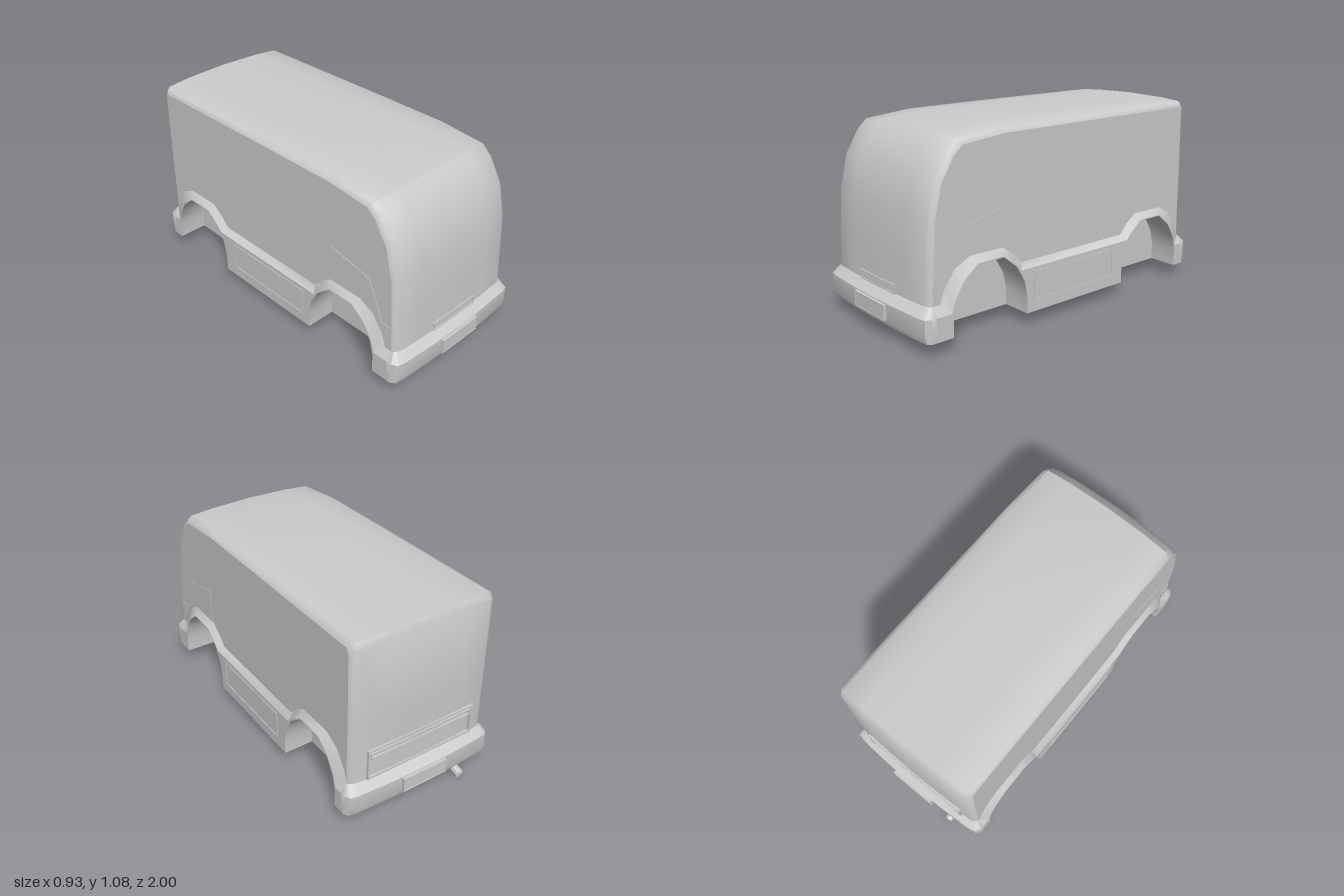
import * as THREE from 'three';
import { toCreasedNormals } from 'three/addons/utils/BufferGeometryUtils.js';

const SIDE = 0.43, SKIRT = 0.463, FLOOR = 0.075, WELL = 0.29, END = 0.9;

// Surface through rows of [x, y, z] points
function loft(rows, flip = false, crease = 0.6) {
  const n = rows[0].length, index = [];
  for (let i = 0; i < rows.length - 1; i++) {
    for (let j = 0; j < n - 1; j++) {
      const a = i * n + j, b = a + n, c = a + 1, d = b + 1;
      if (flip) index.push(a, c, b, c, d, b);
      else index.push(a, b, c, c, b, d);
    }
  }
  const g = new THREE.BufferGeometry();
  g.setAttribute('position', new THREE.Float32BufferAttribute(rows.flat(2), 3));
  g.setIndex(index);
  return toCreasedNormals(g, crease);
}

const toShape = (pts) => new THREE.Shape(pts.map(([a, b]) => new THREE.Vector2(a, b)));

// Flat face outlined in (z, y), standing at x and facing away from the middle
function sideFace(pts, x) {
  const g = new THREE.ShapeGeometry(toShape(pts));
  g.rotateY(-Math.PI / 2);
  g.translate(x, 0, 0);
  if (x > 0) g.index.array.reverse();
  g.computeVertexNormals();
  return g;
}

// Rectangular rim, centred, facing +z
function rim(w, h, t, depth) {
  const box = (a, b) => [[-a, -b], [a, -b], [a, b], [-a, b]];
  const s = toShape(box(w / 2, h / 2));
  s.holes.push(toShape(box(w / 2 - t, h / 2 - t)));
  return new THREE.ExtrudeGeometry(s, { depth, bevelEnabled: false });
}

export function createModel() {
  const model = new THREE.Group();
  const paint = new THREE.MeshStandardMaterial({ color: 0xcccccc, side: THREE.DoubleSide });
  paint.name = 'light grey';
  const add = (name, geometry, x = 0, y = 0, z = 0) => {
    const m = new THREE.Mesh(geometry, paint);
    m.name = name;
    m.position.set(x, y, z);
    model.add(m);
    return m;
  };

  // Body shell: the (z, y) silhouette, drawn in towards both sides
  const profile = [[0.945, 0.25], [0.935, 0.45], [0.922, 0.68], [0.878, 0.87], [0.8, 1.0],
    [0.745, 1.05], [0.47, 1.077], [0, 1.08], [-0.92, 1.08], [-0.937, 1.05], [-0.945, 0.6], [-0.945, 0.25]];
  const inset = (d) => profile.map(([z, y]) => [z * (1 - d / 0.945), y - d * (y - 0.25) / 0.83]);
  const half = [[SIDE, 0.045], [0.42, 0.027], [0.395, 0.014], [0.25, 0.005]];
  const stations = [...half.map(([x, d]) => [-x, d]), [0, 0], ...half.slice().reverse()];
  add('bodyShell', loft(stations.map(([x, d]) => inset(d).map(([z, y]) => [x, y, z]))));

  // Wheel arch lines as (offset from the axle, height), from the bumper side to the middle
  const arches = [{ c: 0.57, dir: 1 }, { c: -0.615, dir: -1 }];
  const openingPts = [[0.235, FLOOR], [0.235, 0.17], [0.215, 0.26], [0.165, 0.345], [0.08, 0.415],
    [-0.08, 0.415], [-0.165, 0.345], [-0.215, 0.26], [-0.235, 0.17], [-0.235, FLOOR]];
  const lipPts = [[0.24, 0.2], [0.222, 0.265], [0.17, 0.35], [0.083, 0.42], [-0.083, 0.42],
    [-0.17, 0.35], [-0.195, 0.32]];
  const flarePts = [[0.29, 0.25], [0.265, 0.32], [0.2, 0.41], [0.11, 0.455], [-0.1, 0.455],
    [-0.17, 0.405], [-0.22, 0.35]];
  // Place an arch line in (z, y), running front to back
  const place = (pts, { c, dir }) => {
    const out = pts.map(([u, y]) => [c + dir * u, y]);
    return dir > 0 ? out : out.reverse();
  };
  const wholeLine = (pts, y) => [[END, y], ...arches.flatMap((a) => place(pts, a)), [-END, y]];
  const lip = wholeLine(lipPts, 0.2), flare = wholeLine(flarePts, 0.25);
  const openings = arches.map((a) => place(openingPts, a));
  const at = (x, pts) => pts.map(([z, y]) => [x, y, z]);

  for (const s of [1, -1]) {
    const side = s > 0 ? 'left' : 'right';
    add(side + 'BodySide', sideFace([...flare.slice().reverse(), ...inset(0.045)], s * SIDE));
    add(side + 'FlareBevel', loft([at(s * SIDE, flare), at(s * SKIRT, lip)], s < 0));
    add(side + 'Skirt', sideFace([[-END, FLOOR], ...openings[1].slice().reverse(),
      ...openings[0].slice().reverse(), [END, FLOOR], ...lip], s * SKIRT));
    // Wheel wells
    openings.forEach((o, i) => {
      const name = side + (i ? 'Rear' : 'Front') + 'WheelWell';
      add(name, loft([at(s * SKIRT, o), at(s * WELL, o)], s < 0));
      add(name + 'Wall', sideFace(o, s * WELL));
    });
    // Locker rim on the skirt
    add(side + 'LockerRim', rim(0.59, 0.165, 0.012, 0.006), s * (SKIRT - 0.002), 0.2125, -0.01)
      .rotation.y = s * Math.PI / 2;
    // Thin panel ahead of and above the front wheel
    const panel = [[0.895, 0.25], [0.895, 0.39], [0.83, 0.39], [0.74, 0.61], [0.475, 0.665],
      [0.475, 0.456], [0.68, 0.456], [0.77, 0.412], [0.835, 0.325], [0.86, 0.25]];
    add(side + 'FrontPanel', sideFace(panel, s * (SIDE + 0.003)));
    const edge = [...panel, panel[0]];
    add(side + 'FrontPanelEdge', loft([at(s * SIDE, edge), at(s * (SIDE + 0.003), edge)], s < 0));
  }

  // Bumpers: plan outline (x, z) lofted upwards, then drawn in along the top
  const planHalf = [[SKIRT, END], [SKIRT, 0.93], [0.445, 0.96], [0.4, 0.97], [0.2, 0.981]];
  const plan = [...planHalf, [0, 0.985], ...planHalf.map(([x, z]) => [-x, z]).reverse()];
  const levels = [[FLOOR, 1, 0.85], [0.105, 1, 1], [0.2, 1, 1], [0.25, SIDE / SKIRT, 0.4]];
  for (const s of [1, -1]) {
    const end = s > 0 ? 'front' : 'rear';
    add(end + 'Bumper', loft(levels.map(([y, kx, kz]) =>
      plan.map(([x, z]) => [x * kx, y, s * (END + (z - END) * kz)])), s < 0));
    add(end + 'NumberPlate', new THREE.BoxGeometry(0.28, 0.085, 0.02), 0, 0.153, s * 0.988);
    add(end + 'NumberPlateRim', rim(0.28, 0.085, 0.007, 0.002), 0, 0.153, s * 0.998)
      .rotation.y = s > 0 ? 0 : Math.PI;
  }

  // Underside with notches for the wheel wells
  const endLine = plan.map(([x, z]) => [x, END + (z - END) * 0.85]);
  const notches = arches.flatMap(({ c }) => [[SKIRT, c + 0.235], [WELL, c + 0.235],
    [WELL, c - 0.235], [SKIRT, c - 0.235]]);
  const floor = new THREE.ShapeGeometry(toShape([
    ...notches, ...endLine.map(([x, z]) => [x, -z]),
    ...notches.map(([x, z]) => [-x, z]).reverse(), ...endLine.slice().reverse()]));
  floor.rotateX(Math.PI / 2);
  add('underside', floor, 0, FLOOR, 0);

  // Front intake and rear engine cover
  add('frontIntakeRim', rim(0.325, 0.05, 0.006, 0.012), 0, 0.27, 0.936);
  add('rearCoverRim', rim(0.67, 0.18, 0.012, 0.014), 0, 0.345, -0.936).rotation.y = Math.PI;
  add('rearCoverSlot', rim(0.64, 0.035, 0.007, 0.014), 0, 0.395, -0.936).rotation.y = Math.PI;

  // Exhaust pipe, bent backwards below the bumper
  const bend = new THREE.CatmullRomCurve3([[0.1, -0.85], [0.07, -0.885], [0.043, -0.93], [0.025, -0.99]]
    .map(([y, z]) => new THREE.Vector3(-0.255, y, z)));
  add('exhaustPipe', toCreasedNormals(new THREE.TubeGeometry(bend, 6, 0.024, 8), 0.6));
  add('exhaustInside', new THREE.CircleGeometry(0.023, 8), -0.255, 0.026, -0.985).rotation.y = Math.PI;

  return model;
}
